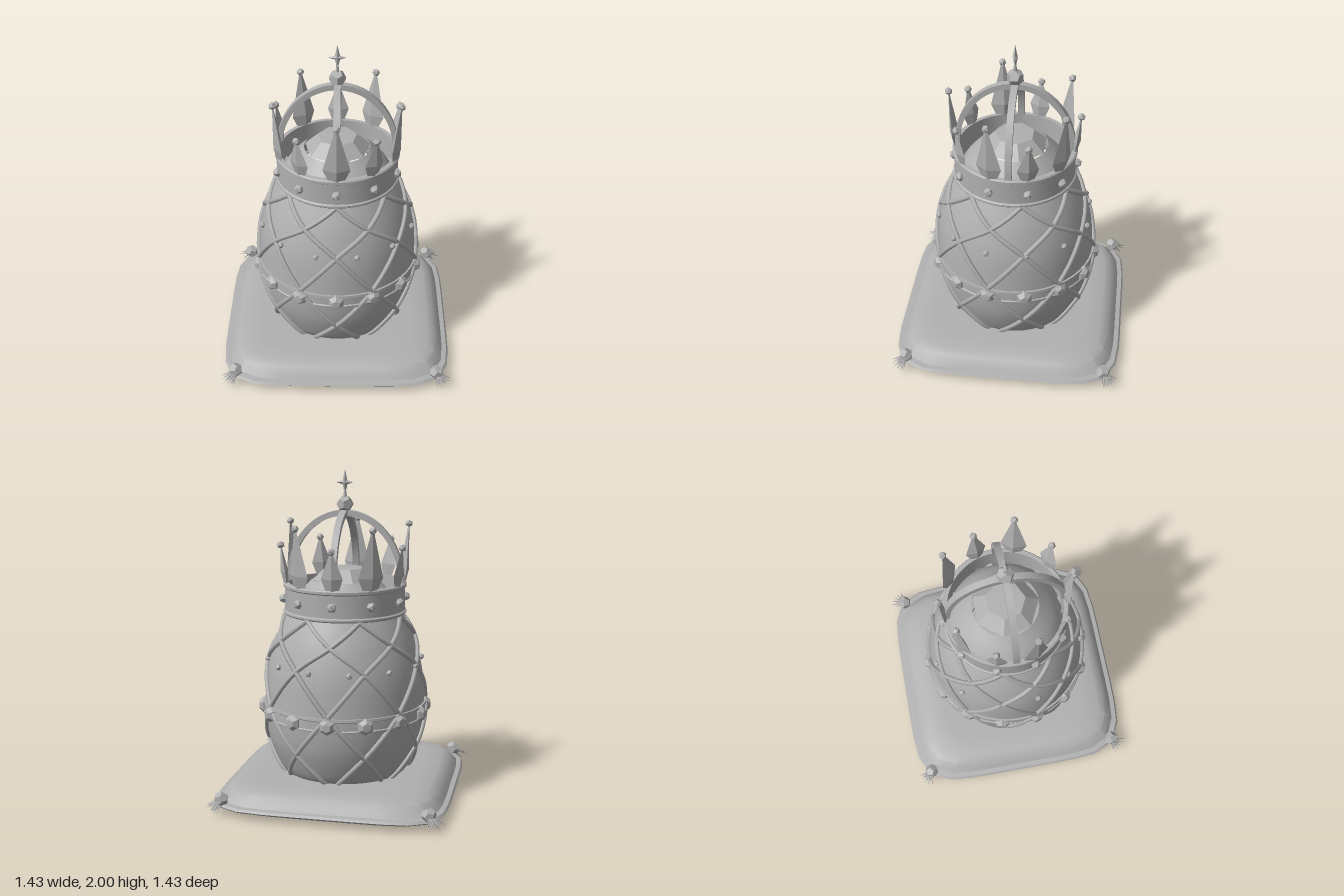
import * as THREE from 'three';
import { toCreasedNormals } from 'three/addons/utils/BufferGeometryUtils.js';

const grey = new THREE.MeshStandardMaterial({ color: 0xb0b0b0 });
grey.name = 'silver grey';

// Egg outline: [radius, height]
const eggProfile = new THREE.SplineCurve([
  [0.3, 0.08], [0.385, 0.15], [0.43, 0.23], [0.475, 0.36], [0.495, 0.5], [0.494, 0.6],
  [0.475, 0.8], [0.425, 0.98], [0.35, 1.14], [0.29, 1.24], [0.2, 1.335],
].map(p => new THREE.Vector2(...p))).getPoints(60);

function eggRadius(y) {
  const i = Math.max(1, eggProfile.findIndex(p => p.y >= y));
  const a = eggProfile[i - 1], b = eggProfile[i];
  return THREE.MathUtils.mapLinear(y, a.y, b.y, a.x, b.x);
}

function add(parent, name, geometry, x = 0, y = 0, z = 0) {
  const mesh = new THREE.Mesh(geometry, grey);
  mesh.name = name;
  mesh.position.set(x, y, z);
  parent.add(mesh);
  return mesh;
}

function lathe(points, segments, crease = 0.6) {
  const g = new THREE.LatheGeometry(points.map(p => new THREE.Vector2(p[0], p[1])), segments);
  return toCreasedNormals(g, crease);
}

// Calls build(holder, index) for evenly spaced holders turned about the y axis
function around(parent, count, offset, build) {
  for (let i = 0; i < count; i++) {
    const holder = new THREE.Group();
    holder.name = 'radialHolder';
    holder.rotation.y = offset + (i / count) * Math.PI * 2;
    parent.add(holder);
    build(holder, i);
  }
}

function buildCushion(root) {
  const profile = [[0, 0], [0.62, 0.005], [0.675, 0.03], [0.7, 0.04], [0.71, 0.05], [0.7, 0.063],
    [0.672, 0.066], [0.655, 0.09], [0.625, 0.125], [0.58, 0.145], [0.48, 0.15], [0, 0.152]];
  const g = new THREE.LatheGeometry(profile.map(p => new THREE.Vector2(...p)), 40);
  const pos = g.attributes.position;
  // Push the round plan out to a soft-cornered square
  for (let i = 0; i < pos.count; i++) {
    const x = pos.getX(i), z = pos.getZ(i), r = Math.hypot(x, z);
    if (r < 1e-6) continue;
    const f = Math.pow(Math.abs(x / r) ** 6 + Math.abs(z / r) ** 6, -1 / 6);
    pos.setX(i, x * f);
    pos.setZ(i, z * f);
  }
  add(root, 'cushion', toCreasedNormals(g, 0.5));

  // Corner knots with a fan of tassel threads
  const thread = new THREE.ConeGeometry(0.01, 0.09, 5).rotateX(Math.PI / 2).translate(0, 0, 0.06);
  around(root, 4, Math.PI / 4, holder => {
    const tassel = new THREE.Group();
    tassel.name = 'cornerTassel';
    tassel.position.set(0, 0.092, 0.875);
    holder.add(tassel);
    add(tassel, 'tasselKnot', new THREE.DodecahedronGeometry(0.045));
    for (let row = 0; row < 2; row++) {
      for (let k = -2; k <= 2; k++) {
        const t = add(tassel, 'tasselThread', thread);
        t.rotation.order = 'YXZ';
        t.rotation.set(0.4 + row * 0.45, k * 0.32, 0);
      }
    }
  });
}

function buildEgg(root) {
  add(root, 'eggBody', lathe([[0, 0.08], ...eggProfile.map(p => [p.x, p.y])], 48));
  add(root, 'eggCap', lathe([[0.2, 1.33], [0.12, 1.405], [0, 1.412]], 7, 0.2));

  // Diagonal lattice: [height, azimuth step], mirrored both ways
  const path = new THREE.SplineCurve([[0.1, -3], [0.33, -2], [0.59, -1], [0.84, 0], [0.99, 1],
    [1.13, 2], [1.17, 2.4]].map(p => new THREE.Vector2(...p))).getPoints(40);
  for (const side of [-1, 1]) {
    const pts = path.map(p => {
      const a = side * p.y * Math.PI / 7, r = eggRadius(p.x) + 0.006;
      return new THREE.Vector3(r * Math.sin(a), p.x, r * Math.cos(a));
    });
    const tube = new THREE.TubeGeometry(new THREE.CatmullRomCurve3(pts), 48, 0.015, 6);
    around(root, 7, 0, holder => add(holder, 'latticeStrip', tube));
  }

  // Small studs between the strips
  around(root, 12, Math.PI / 12, holder =>
    add(holder, 'latticeStud', new THREE.IcosahedronGeometry(0.02), 0, 0.84, eggRadius(0.84) + 0.008));

  // Waist band with raised edges
  add(root, 'waistBand', lathe([[0.48, 0.495], [0.506, 0.495], [0.508, 0.51], [0.501, 0.515],
    [0.501, 0.565], [0.508, 0.57], [0.506, 0.585], [0.48, 0.585]], 56, 0.5));
  const gem = lathe([[0.05, -0.015], [0.05, 0.01], [0.028, 0.034], [0, 0.036]], 6, 0.2).rotateX(Math.PI / 2);
  around(root, 14, 0, holder => add(holder, 'waistGem', gem, 0, 0.54, 0.5));
}

function buildCrown(root) {
  const crown = new THREE.Group();
  crown.name = 'crown';
  root.add(crown);

  // Open band with a lip at both edges
  add(crown, 'crownBand', lathe([[0.345, 1.13], [0.37, 1.13], [0.377, 1.137], [0.377, 1.148],
    [0.368, 1.155], [0.368, 1.29], [0.377, 1.297], [0.377, 1.312], [0.37, 1.32], [0.345, 1.32],
    [0.345, 1.13]], 48, 0.5));
  around(crown, 10, 0, holder =>
    add(holder, 'bandGem', new THREE.IcosahedronGeometry(0.03), 0, 1.22, 0.375));

  // Alternating tall and short points, each tipped with a bead
  around(crown, 10, 0, (holder, i) => {
    const tall = i % 2 === 0, h = tall ? 0.35 : 0.23, w = tall ? 0.08 : 0.065;
    const point = new THREE.Group();
    point.name = tall ? 'tallPoint' : 'shortPoint';
    point.position.set(0, 1.315, 0.36);
    point.rotation.x = tall ? 0.09 : 0.13;
    holder.add(point);
    add(point, 'pointBlade', lathe([[0, 0], [w * 0.6, 0], [w, 0.075], [0.008, h], [0, h]], 4, 0.1))
      .scale.z = 0.35;
    add(point, 'pointBead', new THREE.IcosahedronGeometry(0.024), 0, h + 0.005, 0);
  });

  // Two crossing arches with a square section
  const shape = new THREE.Shape();
  shape.absellipse(0, 0, 0.365, 0.435, 0, Math.PI, false);
  shape.absellipse(0, 0, 0.333, 0.4, Math.PI, 0, true);
  const arch = toCreasedNormals(new THREE.ExtrudeGeometry(shape,
    { depth: 0.04, bevelEnabled: false, curveSegments: 20 }).translate(0, 1.32, -0.02), 0.5);
  add(crown, 'sideArch', arch);
  add(crown, 'frontBackArch', arch).rotation.y = Math.PI / 2;

  // Orb and slender four-pointed finial
  add(crown, 'orb', new THREE.DodecahedronGeometry(0.052), 0, 1.79, 0);
  add(crown, 'finialStem', new THREE.CylinderGeometry(0.006, 0.014, 0.06, 6), 0, 1.85, 0);
  add(crown, 'finialUpright', new THREE.OctahedronGeometry(1), 0, 1.92, 0).scale.set(0.017, 0.08, 0.015);
  add(crown, 'finialCrossbar', new THREE.OctahedronGeometry(1), 0, 1.92, 0).scale.set(0.052, 0.017, 0.015);
}

export function createModel() {
  const root = new THREE.Group();
  root.name = 'crownedEggOnCushion';
  buildCushion(root);
  buildEgg(root);
  buildCrown(root);
  return root;
}
